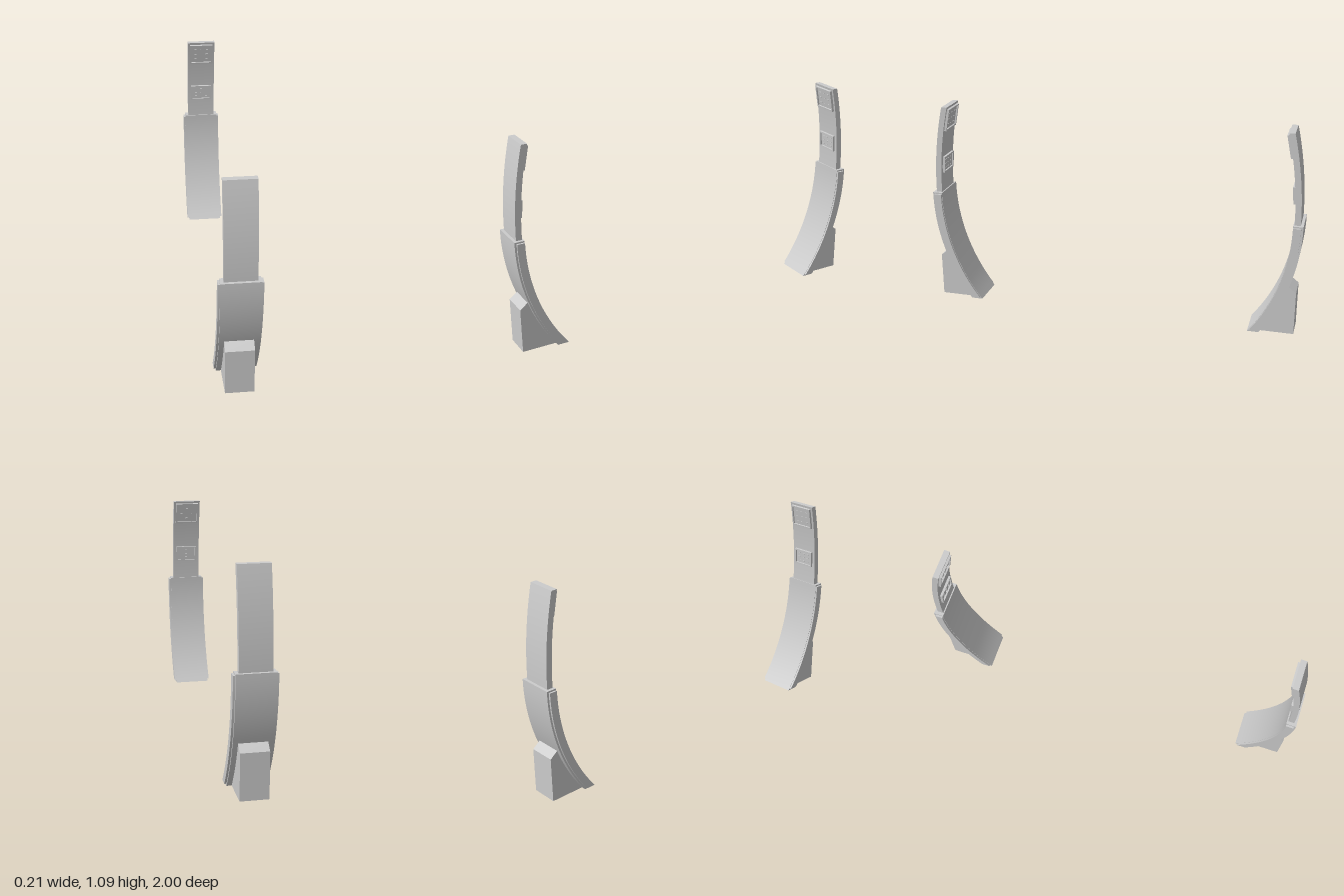
import * as THREE from 'three';
import { toCreasedNormals } from 'three/addons/utils/BufferGeometryUtils.js';

const material = new THREE.MeshStandardMaterial({ color: 0xcccccc });
const shellMaterial = new THREE.MeshStandardMaterial({ color: 0xcccccc, side: THREE.DoubleSide });

function addMesh(parent, name, geometry, mat = material) {
  const mesh = new THREE.Mesh(geometry, mat);
  mesh.name = name;
  parent.add(mesh);
  return mesh;
}

// z of a vertical arc at height y, bulging furthest outward at (zMax, yMid)
const arcZ = (y, zMax, yMid, r) => zMax - r + Math.sqrt(r * r - (y - yMid) ** 2);
const lowerOuter = (y) => arcZ(y, 1.0, 0.6, 1.02);
const lowerInner = (y) => arcZ(y, 0.948, 0.6, 0.988);
const upperOuter = (y) => arcZ(y, 0.985, 0.62, 2.0);
const upperInner = (y) => upperOuter(y) - 0.031;

function arcPoints(zAt, y0, y1, n = 24) {
  return Array.from({ length: n + 1 }, (_, i) => {
    const y = y0 + ((y1 - y0) * i) / n;
    return new THREE.Vector2(zAt(y), y);
  });
}

// Curved slab: a (z, y) side profile extruded across x
function slab(outer, inner, y0, y1, width) {
  const shape = new THREE.Shape([...arcPoints(outer, y0, y1), ...arcPoints(inner, y1, y0)]);
  const g = new THREE.ExtrudeGeometry(shape, { depth: width, bevelEnabled: false });
  g.translate(0, 0, -width / 2).rotateY(-Math.PI / 2);
  return toCreasedNormals(g, 0.5);
}

// Framed socket panel lying on the inner face of the upper arm
function addPanel(parent, name, y, width, height) {
  const panel = new THREE.Group();
  panel.name = name;
  const w = width / 2, h = height / 2, rim = 0.008;
  const frame = new THREE.Shape([
    new THREE.Vector2(-w, -h), new THREE.Vector2(w, -h),
    new THREE.Vector2(w, h), new THREE.Vector2(-w, h)]);
  frame.holes.push(new THREE.Path([
    new THREE.Vector2(-w + rim, -h + rim), new THREE.Vector2(-w + rim, h - rim),
    new THREE.Vector2(w - rim, h - rim), new THREE.Vector2(w - rim, -h + rim)]));
  addMesh(panel, 'panelFrame', new THREE.ExtrudeGeometry(frame, { depth: 0.018, bevelEnabled: false }))
    .position.z = -0.005;
  addMesh(panel, 'panelPlate', new THREE.BoxGeometry(width - rim, height - rim, 0.01));
  // small contacts on the plate
  for (const row of [-1, 0, 1]) {
    for (const col of [-1, 0, 1]) {
      addMesh(panel, 'contact', new THREE.BoxGeometry(0.012, 0.003, 0.004))
        .position.set(col * w * 0.5, row * h * 0.5, 0.006);
    }
  }
  const slope = (upperInner(y + 0.01) - upperInner(y - 0.01)) / 0.02;
  panel.position.set(0, y, upperInner(y));
  panel.rotation.set(Math.atan(slope), Math.PI, 0, 'XYZ');
  parent.add(panel);
}

// Hollow foot behind the curve, open at the bottom
function addFoot(parent) {
  const foot = new THREE.Group();
  foot.name = 'foot';
  const w = 0.14, back = 0.985, shoulder = 0.235, top = 0.267;
  const topZ = lowerOuter(top);
  const profile = new THREE.Shape([
    new THREE.Vector2(back, 0), new THREE.Vector2(back, shoulder),
    ...arcPoints(lowerOuter, top, 0, 12)]);
  for (const side of [-1, 1]) {
    const g = new THREE.ShapeGeometry(profile).rotateY(-Math.PI / 2);
    addMesh(foot, 'footSide', g, shellMaterial).position.x = (side * w) / 2;
  }
  addMesh(foot, 'footWall', new THREE.PlaneGeometry(w, shoulder), shellMaterial)
    .position.set(0, shoulder / 2, back);
  const dy = top - shoulder, dz = back - topZ;
  const cap = addMesh(foot, 'footChamfer', new THREE.PlaneGeometry(w, Math.hypot(dy, dz)), shellMaterial);
  cap.position.set(0, (top + shoulder) / 2, (back + topZ) / 2);
  cap.rotation.x = -Math.atan2(dz, dy);
  parent.add(foot);
}

function createPylon(name) {
  const pylon = new THREE.Group();
  pylon.name = name;
  // lower curved body with a slightly wider, shorter sleeve
  addMesh(pylon, 'lowerBody', slab(lowerOuter, lowerInner, 0, 0.614, 0.19));
  addMesh(pylon, 'lowerSleeve',
    slab((y) => lowerOuter(y) - 0.01, (y) => lowerInner(y) + 0.002, 0.01, 0.606, 0.21));
  // slim upper arm
  addMesh(pylon, 'upperArm', slab(upperOuter, upperInner, 0.6, 1.092, 0.156));
  addPanel(pylon, 'lowerPanel', 0.765, 0.12, 0.09);
  addPanel(pylon, 'upperPanel', 1.02, 0.132, 0.122);
  addFoot(pylon);
  return pylon;
}

export function createModel() {
  const model = new THREE.Group();
  model.name = 'facingPylons';
  const front = createPylon('frontPylon');
  const back = createPylon('backPylon');
  back.rotation.y = Math.PI;
  model.add(front, back);
  return model;
}
